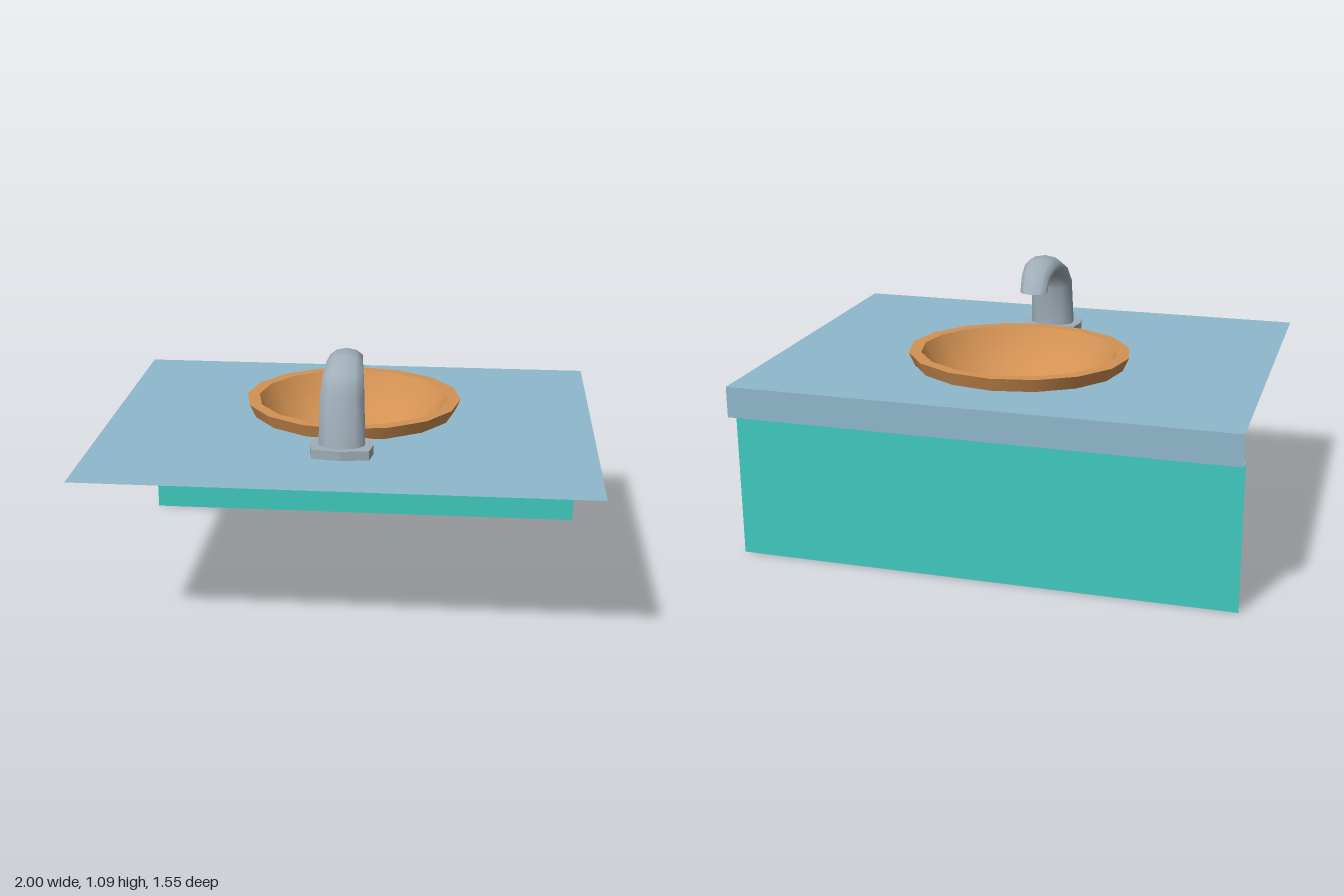
import * as THREE from 'three';

const mat = (name, color) => {
  const m = new THREE.MeshStandardMaterial({ color, side: THREE.DoubleSide });
  m.name = name;
  return m;
};

export function createModel() {
  const group = new THREE.Group();
  const counterBlue = mat('counterBlue', 0x8fb8cc);
  const panelTeal = mat('panelTeal', 0x40ccc0);
  const bowlOrange = mat('bowlOrange', 0xd39253);
  const metalGrey = mat('metalGrey', 0xa0aeb8);

  const add = (name, geometry, material, x = 0, y = 0, z = 0) => {
    const mesh = new THREE.Mesh(geometry, material);
    mesh.name = name;
    mesh.position.set(x, y, z);
    group.add(mesh);
    return mesh;
  };

  const TOP = 0.724, BACK = -0.773, BOWL_Z = -0.155, SQUASH = 0.9;

  // Counter sheet with an oval cut-out under the basin rim
  const sheet = new THREE.Shape([[-1, BACK], [1, BACK], [1, -BACK], [-1, -BACK]]
    .map(([x, y]) => new THREE.Vector2(x, y)));
  const hole = [];
  for (let i = 0; i < 16; i++) {
    const a = (i / 16) * Math.PI * 2;
    hole.push(new THREE.Vector2(0.4 * Math.cos(a), -BOWL_Z + 0.4 * SQUASH * Math.sin(a)));
  }
  sheet.holes.push(new THREE.Path(hole));
  add('counterTop', new THREE.ShapeGeometry(sheet).rotateX(-Math.PI / 2), counterBlue, 0, TOP, 0);

  // Folded back edge, its lip and the hanging panel
  add('counterBackEdge', new THREE.PlaneGeometry(2, TOP - 0.6).rotateY(Math.PI), counterBlue, 0, (TOP + 0.6) / 2, BACK);
  add('counterLip', new THREE.PlaneGeometry(2, 0.068).rotateX(Math.PI / 2), counterBlue, 0, 0.6, BACK + 0.034);
  add('backPanel', new THREE.PlaneGeometry(2, 0.6), panelTeal, 0, 0.3, BACK + 0.068);

  // Oval basin: separate lathes keep the rim edges sharp
  const lathe = (name, pts) => {
    const g = new THREE.LatheGeometry(pts.map(([r, y]) => new THREE.Vector2(r, y)), 16);
    add(name, g, bowlOrange, 0, 0, BOWL_Z).scale.z = SQUASH;
  };
  lathe('basinRimSide', [[0.43, TOP], [0.455, 0.779]]);
  lathe('basinRimTop', [[0.455, 0.779], [0.403, 0.779]]);
  lathe('basinBowl', [[0.403, 0.779], [0.37, TOP], [0.33, 0.68], [0.26, 0.615], [0.14, 0.577], [0, 0.555]]);
  add('drain', new THREE.CircleGeometry(0.08, 8).rotateX(-Math.PI / 2), metalGrey, 0, 0.574, BOWL_Z);

  // Eight-sided tap foot
  const foot = new THREE.Shape([[0.125, 0], [0.113, 0.07], [0, 0.088], [-0.113, 0.07],
    [-0.125, 0], [-0.113, -0.07], [0, -0.088], [0.113, -0.07]].map(([x, y]) => new THREE.Vector2(x, y)));
  add('tapFoot', new THREE.ExtrudeGeometry(foot, { depth: 0.038, bevelEnabled: false })
    .rotateX(-Math.PI / 2), metalGrey, 0, TOP, 0.378);

  // Tap spout: outer z, y, inner z, y and half width of each section
  const sections = [
    [0.44, 0.76, 0.31, 0.76, 0.095],
    [0.405, 0.97, 0.31, 0.925, 0.09],
    [0.34, 1.04, 0.275, 0.985, 0.084],
    [0.25, 1.085, 0.24, 1.005, 0.076],
    [0.15, 1.085, 0.17, 1.01, 0.068],
    [0.07, 1.045, 0.12, 1.0, 0.061],
    [0.022, 0.965, 0.1, 0.965, 0.057],
  ];
  const N = 10, pos = [], idx = [];
  sections.forEach(([oz, oy, iz, iy, w], s) => {
    for (let k = 0; k < N; k++) {
      const a = (k / N) * Math.PI * 2, c = Math.cos(a) / 2;
      pos.push(w * Math.sin(a), (oy + iy) / 2 + c * (oy - iy), (oz + iz) / 2 + c * (oz - iz));
      if (s === 0) continue;
      const k2 = (k + 1) % N, p = (s - 1) * N, q = s * N;
      idx.push(p + k, p + k2, q + k, p + k2, q + k2, q + k);
    }
  });
  const spout = new THREE.BufferGeometry();
  spout.setAttribute('position', new THREE.Float32BufferAttribute(pos, 3));
  spout.setIndex(idx);
  spout.computeVertexNormals();
  add('tapSpout', spout, metalGrey);

  // Flat closing face at the spout mouth
  const mouth = new THREE.CircleGeometry(1, N).rotateZ(Math.PI / 2).rotateX(Math.PI / 2);
  add('tapMouth', mouth, metalGrey, 0, 0.965, 0.061).scale.set(0.057, 1, 0.039);

  return group;
}
